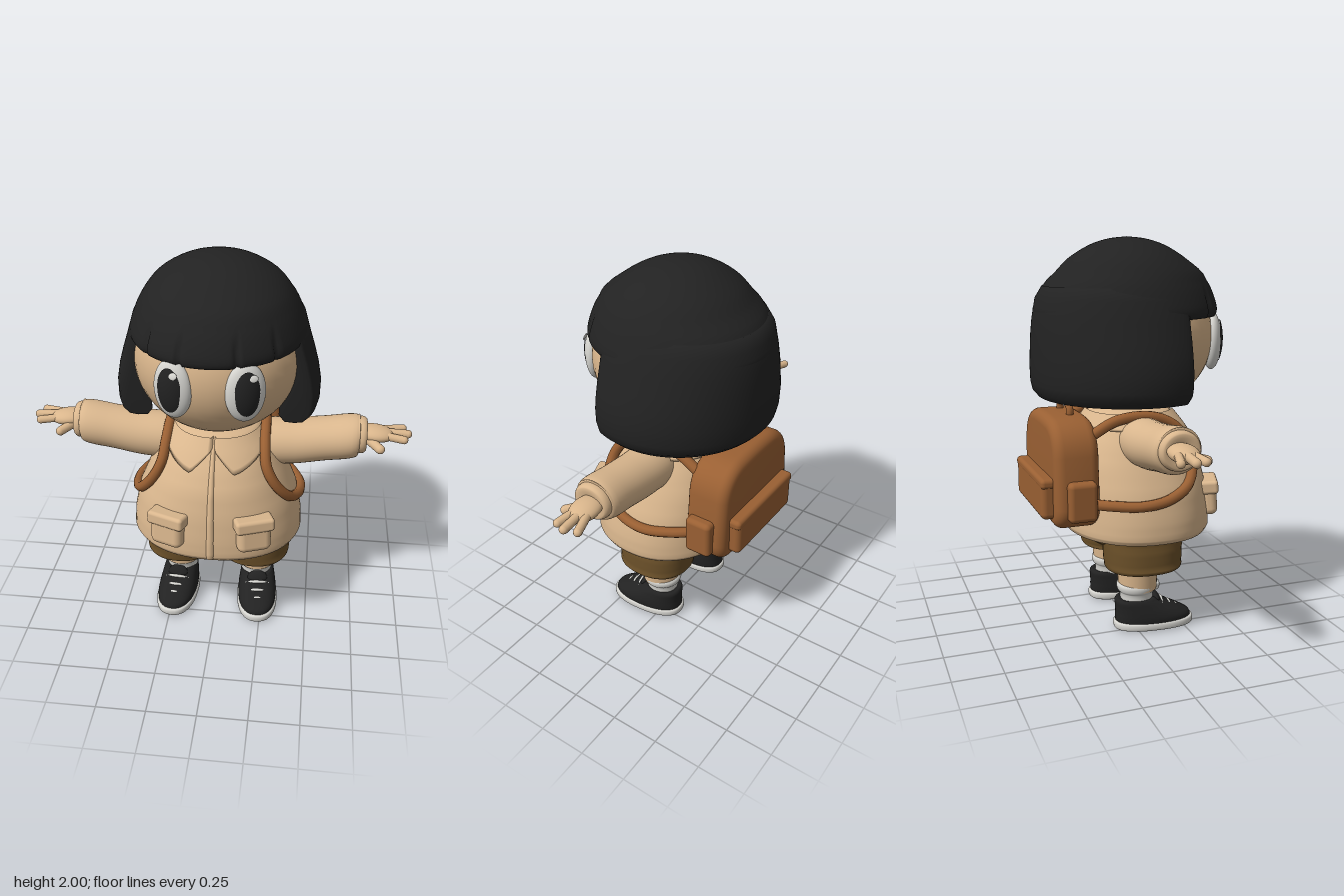
import * as THREE from 'three';
import { mergeVertices, toCreasedNormals } from 'three/addons/utils/BufferGeometryUtils.js';
import { RoundedBoxGeometry } from 'three/addons/geometries/RoundedBoxGeometry.js';

const mat = (name, color) => new THREE.MeshStandardMaterial({ name, color });
const V = (x, y, z) => new THREE.Vector3(x, y, z);

// Smooth surface from f(i, j); i runs round, j runs up, outside faces out
function surf(nu, nv, f) {
  const pos = [], idx = [];
  for (let j = 0; j <= nv; j++) for (let i = 0; i <= nu; i++) pos.push(...f(i, j));
  for (let j = 0; j < nv; j++) for (let i = 0; i < nu; i++) {
    const a = j * (nu + 1) + i, b = a + nu + 1;
    idx.push(a, b, a + 1, a + 1, b, b + 1);
  }
  let g = new THREE.BufferGeometry();
  g.setAttribute('position', new THREE.Float32BufferAttribute(pos, 3));
  g.setIndex(idx);
  g = mergeVertices(g, 1e-5);
  g.computeVertexNormals();
  return g;
}

const pw = (c, e) => Math.sign(c) * Math.abs(c) ** (2 / e);

// Stack of (super)elliptic sections [y, rx, rz, cx, cz]
function loft(sections, { n = 40, e = 2, sub = 4, dent = null } = {}) {
  const size = new THREE.CatmullRomCurve3(sections.map(s => V(s[1], s[0], s[2])));
  const mid = new THREE.CatmullRomCurve3(sections.map(s => V(s[3] ?? 0, 0, s[4] ?? 0)));
  const nv = (sections.length - 1) * sub;
  return surf(n, nv, (i, j) => {
    const s = size.getPoint(j / nv), m = mid.getPoint(j / nv), a = (i % n) / n * Math.PI * 2;
    const k = dent ? dent(a, s.y) : 1;
    return [m.x + s.x * k * pw(Math.cos(a), e), s.y, m.z + s.z * k * pw(Math.sin(a), e)];
  });
}

// Linear table lookup, first column is the key
function lookup(table, t) {
  let k = 0;
  while (k < table.length - 2 && t > table[k + 1][0]) k++;
  const A = table[k], B = table[k + 1];
  const w = THREE.MathUtils.clamp((t - A[0]) / (B[0] - A[0]), 0, 1);
  return A.map((v, i) => v + (B[i] - v) * w);
}

// Jacket profile: y, rx, rz, centre z
const JACKET = [
  [0.51, 0.435, 0.37, 0.07], [0.535, 0.448, 0.383, 0.07], [0.62, 0.442, 0.38, 0.07],
  [0.75, 0.415, 0.37, 0.065], [0.88, 0.36, 0.345, 0.06], [0.98, 0.31, 0.3, 0.055],
  [1.06, 0.26, 0.25, 0.05], [1.13, 0.2, 0.2, 0.045],
];
function onJacket(a, y, off = 0) {
  const [, rx, rz, cz] = lookup(JACKET, y);
  return [(rx + off) * pw(Math.cos(a), 2.2), y, cz + (rz + off) * pw(Math.sin(a), 2.2)];
}

export function createModel() {
  const skin = mat('skin', 0xdab68c), cloth = mat('jacket tan', 0xdab78e);
  const black = mat('black', 0x222222), white = mat('white', 0xd6d5d0);
  const olive = mat('shorts brown', 0x6b5029), leather = mat('backpack brown', 0x9a6033);

  const model = new THREE.Group();
  model.name = 'child';
  const add = (parent, name, geo, material, p = [0, 0, 0], r = [0, 0, 0], s = [1, 1, 1]) => {
    const m = new THREE.Mesh(geo, material);
    m.name = name;
    m.position.set(...p); m.rotation.set(...r); m.scale.set(...s);
    parent.add(m);
    return m;
  };
  const ball = new THREE.SphereGeometry(1, 40, 28);
  const tube = (pts, r, n = 40) => new THREE.TubeGeometry(new THREE.CatmullRomCurve3(pts.map(p => V(...p))), n, r, 10);
  const capsule = (parent, name, p, q, r, material) => {
    const A = V(...p), B = V(...q), d = B.clone().sub(A);
    const m = add(parent, name, new THREE.CapsuleGeometry(r, d.length(), 6, 14), material);
    m.position.copy(A).add(B).multiplyScalar(0.5);
    m.quaternion.setFromUnitVectors(V(0, 1, 0), d.normalize());
  };

  // Head
  add(model, 'head', ball, skin, [0, 1.505, 0.05], [0, 0, 0], [0.42, 0.39, 0.43]);

  // Hair cap with a fringe cut by thin notches
  const notches = [-0.78, -0.31, 0.31, 0.78];
  const dent = (a, y) => {
    const d = Math.min(...notches.map(n => Math.abs(a - Math.PI / 2 - n)));
    return 1 - 0.045 * Math.max(0, 1 - d / 0.035) * THREE.MathUtils.clamp((1.77 - y) / 0.08, 0, 1);
  };
  add(model, 'hairCap', loft([
    [1.66, 0.36, 0.38, 0, 0.03], [1.615, 0.4, 0.43, 0, 0.03], [1.61, 0.425, 0.46, 0, 0.03],
    [1.635, 0.433, 0.473, 0, 0.027], [1.7, 0.415, 0.456, 0, 0.03], [1.79, 0.375, 0.405, 0, 0.035],
    [1.89, 0.3, 0.3, 0, 0.035], [1.96, 0.19, 0.185, 0, 0.035], [1.99, 0.09, 0.09, 0, 0.035], [2, 0, 0, 0, 0.035],
  ], { n: 180, dent }), black);

  // Bob that wraps the sides and back: profile y, rx, rz
  const bob = [
    [1.75, 0.36, 0.37], [1.5, 0.37, 0.37], [1.24, 0.36, 0.36], [1.205, 0.385, 0.375], [1.2, 0.43, 0.41], [1.205, 0.465, 0.445],
    [1.235, 0.495, 0.472], [1.28, 0.507, 0.482], [1.36, 0.508, 0.485], [1.44, 0.494, 0.482],
    [1.52, 0.472, 0.479], [1.6, 0.447, 0.472], [1.7, 0.418, 0.455], [1.76, 0.385, 0.418], [1.75, 0.36, 0.37],
  ];
  const NB = 84;
  const bobPoint = (row, i, inset) => {
    const [y, rx, rz] = bob[row], a0 = Math.asin(0.19 / rz) - inset;
    const a = Math.PI - a0 + (i - 2) / (NB - 4) * (Math.PI + 2 * a0);
    return [rx * Math.cos(a), y, 0.02 + rz * Math.sin(a)];
  };
  add(model, 'hairBob', surf(NB, bob.length - 1, (i, j) => {
    const end = Math.min(i, NB - i), k = THREE.MathUtils.clamp(i, 2, NB - 2);
    const p = bobPoint(j, k, end === 2 ? 0.05 : 0);
    if (end >= 2) return bobPoint(j, k, 0.04);
    const rim = bobPoint(j, k, 0), c = [Math.sign(p[0]) * 0.405, 1.45, 0.21], w = end === 1 ? 0.06 : 1;
    return rim.map((v, n) => v + (c[n] - v) * w);
  }), black);

  // Eyes: white almond, dark cap, small glint
  const pupil = new THREE.SphereGeometry(1, 36, 12, 0, Math.PI * 2, 0, 0.87).rotateX(Math.PI / 2);
  for (const s of [1, -1]) {
    const eye = new THREE.Group();
    eye.name = s > 0 ? 'leftEye' : 'rightEye';
    eye.position.set(s * 0.166, 1.48, 0.437);
    eye.rotation.y = s * 0.34;
    model.add(eye);
    add(eye, 'eyeWhite', ball, white, [0, 0, 0], [0, 0, 0], [0.096, 0.148, 0.05]);
    add(eye, 'pupil', pupil, black, [0, 0.005, 0], [0, 0, 0], [0.08, 0.146, 0.058]);
    add(eye, 'glint', ball, white, [0.026, 0.085, 0.045], [-0.4, 0, 0], [0.021, 0.017, 0.006]);
  }

  // Jacket body with a hollow hem
  const body = [[0.58, 0.3, 0.25, 0.07], [0.52, 0.39, 0.33, 0.07], ...JACKET, [1.17, 0, 0, 0.045]];
  const rows = body.flatMap((s, k) => k < body.length - 1
    ? [0, 0.33, 0.67].map(w => s.map((v, i) => v + (body[k + 1][i] - v) * w)) : [s]);
  add(model, 'jacketBody', surf(72, rows.length - 1, (i, j) => {
    const [y, rx, rz, cz] = rows[j], a = (i % 72) / 72 * Math.PI * 2;
    return [rx * pw(Math.cos(a), 2.2), y, cz + rz * pw(Math.sin(a), 2.2)];
  }), cloth);
  add(model, 'placket', surf(4, 30, (i, j) => {
    const d = (i - 2) / 2 * 0.035;
    return onJacket(Math.PI / 2 + d, 0.52 + j / 30 * 0.56, Math.abs(i - 2) === 2 ? -0.004 : 0.008);
  }), cloth);

  // Hips
  add(model, 'shortsSeat', ball, olive, [0, 0.54, 0.065], [0, 0, 0], [0.385, 0.165, 0.315]);

  // Everything mirrored left and right
  const collarEdge = [[0, 1.085], [0.3, 0.98], [0.42, 0.99], [0.95, 1.05], [Math.PI, 1.06]];
  for (const s of [1, -1]) {
    const side = new THREE.Group();
    side.name = s > 0 ? 'leftSide' : 'rightSide';
    side.scale.x = s;
    model.add(side);

    // Collar wing
    add(side, 'collar', surf(80, 8, (i, j) => {
      const d = (1 - i / 80) * Math.PI, low = lookup(collarEdge, d)[1];
      const off = j === 0 || i === 80 ? -0.01 : 0.022;
      return onJacket(Math.PI / 2 - d, low + (1.13 - low) * Math.max(0, j - 1) / 7, off);
    }), cloth);

    // Chest pocket
    const pocket = new THREE.Group();
    pocket.name = 'pocket';
    pocket.position.set(0.217, 0.67, 0.415);
    pocket.rotation.set(-0.08, 0.36, 0, 'YXZ');
    side.add(pocket);
    add(pocket, 'pocketPouch', new RoundedBoxGeometry(0.175, 0.15, 0.08, 4, 0.035), cloth, [0, -0.012, 0]);
    add(pocket, 'pocketFlap', new RoundedBoxGeometry(0.2, 0.07, 0.1, 4, 0.018), cloth, [0, 0.065, 0]);

    // Sleeve and cuff, lofted along the arm
    const along = [0, 0, -Math.PI / 2];
    add(side, 'sleeve', loft([
      [0.12, 0, 0, -1, 0.03], [0.15, 0.1, 0.11, -1, 0.03], [0.25, 0.12, 0.125, -1, 0.03],
      [0.4, 0.12, 0.125, -1.008, 0.03], [0.55, 0.115, 0.122, -1.03, 0.028], [0.68, 0.114, 0.122, -1.05, 0.027],
      [0.715, 0.106, 0.11, -1.055, 0.027], [0.722, 0.09, 0.09, -1.055, 0.027], [0.7, 0, 0, -1.055, 0.027],
    ]), cloth, [0, 0, 0], along);
    add(side, 'cuff', loft([
      [0.69, 0.08, 0.085, -1.06, 0.025], [0.71, 0.093, 0.1, -1.06, 0.025], [0.74, 0.093, 0.1, -1.06, 0.025],
      [0.757, 0.08, 0.085, -1.06, 0.025], [0.74, 0, 0, -1.06, 0.025],
    ]), cloth, [0, 0, 0], along);

    // Hand
    add(side, 'palm', ball, skin, [0.8, 1.066, 0.012], [0, 0, -0.08], [0.1, 0.04, 0.07]);
    capsule(side, 'finger', [0.83, 1.068, -0.025], [0.945, 1.06, -0.063], 0.021, skin);
    capsule(side, 'finger', [0.83, 1.07, 0.005], [0.967, 1.062, 0.0], 0.022, skin);
    capsule(side, 'finger', [0.83, 1.068, 0.035], [0.945, 1.058, 0.056], 0.021, skin);
    capsule(side, 'thumb', [0.77, 1.045, 0.05], [0.825, 1.03, 0.115], 0.024, skin);

    // Backpack strap round the shoulder
    add(side, 'strap', tube([
      [0.24, 1.04, -0.24], [0.24, 1.11, -0.1], [0.245, 1.12, 0.08], [0.25, 1.07, 0.2], [0.265, 0.98, 0.268],
      [0.315, 0.88, 0.275], [0.38, 0.79, 0.225], [0.425, 0.735, 0.11], [0.43, 0.715, -0.03], [0.37, 0.715, -0.17], [0.3, 0.715, -0.26],
    ], 0.027, 70), leather);

    // Shorts leg
    add(side, 'shortsLeg', loft([
      [0.37, 0, 0, 0.205, 0.05], [0.36, 0.13, 0.15, 0.205, 0.05], [0.33, 0.16, 0.18, 0.203, 0.05], [0.33, 0.178, 0.195, 0.203, 0.05],
      [0.36, 0.182, 0.2, 0.203, 0.05], [0.45, 0.182, 0.205, 0.2, 0.05], [0.54, 0.18, 0.21, 0.2, 0.05],
    ], { e: 2.3 }), olive);

    // Leg and sock
    add(side, 'leg', new THREE.CylinderGeometry(0.108, 0.1, 0.18, 36, 1, true), skin, [0.212, 0.3, 0.02]);
    add(side, 'sock', loft([
      [0.1, 0.085, 0.085], [0.19, 0.086, 0.088], [0.205, 0.098, 0.1], [0.23, 0.102, 0.105], [0.245, 0.094, 0.096], [0.24, 0, 0],
    ]), white, [0.212, 0, 0.015]);

    // Shoe, toes turned slightly out
    const shoe = new THREE.Group();
    shoe.name = 'shoe';
    shoe.position.set(0.217, 0, 0);
    shoe.rotation.y = 0.07;
    side.add(shoe);
    add(shoe, 'sole', loft([
      [0, 0, 0, 0, 0.105], [0, 0.1, 0.205, 0, 0.105], [0.008, 0.11, 0.213, 0, 0.105],
      [0.035, 0.11, 0.213, 0, 0.105], [0.042, 0.1, 0.2, 0, 0.105], [0.042, 0, 0, 0, 0.105],
    ], { e: 2.4 }), white);
    add(shoe, 'shoeUpper', loft([
      [0.03, 0.103, 0.203, 0, 0.105], [0.06, 0.106, 0.2, 0, 0.1], [0.09, 0.103, 0.175, 0, 0.076], [0.12, 0.097, 0.145, 0, 0.045],
      [0.15, 0.09, 0.116, 0, 0.015], [0.162, 0.08, 0.1, 0, 0.01], [0.13, 0, 0, 0, 0.01],
    ], { e: 2.3 }), black);
    add(shoe, 'tongue', ball, black, [0, 0.15, 0.115], [-0.5, 0, 0], [0.055, 0.04, 0.02]);
    for (const [y, z] of [[0.142, 0.145], [0.118, 0.187], [0.095, 0.226]])
      add(shoe, 'lace', tube([[-0.062, y - 0.016, z - 0.012], [0, y, z], [0.062, y - 0.016, z - 0.012]], 0.009, 10), white);

    // Backpack side pocket
    add(side, 'sidePocket', new RoundedBoxGeometry(0.09, 0.2, 0.145, 4, 0.025), leather, [0.33, 0.742, -0.313]);
  }

  // Backpack body: rounded, slightly tapering outline
  const o = new THREE.Shape();
  o.moveTo(-0.23, 0.64);
  o.lineTo(0.23, 0.64);
  o.quadraticCurveTo(0.285, 0.64, 0.285, 0.7);
  o.lineTo(0.265, 0.95);
  o.quadraticCurveTo(0.25, 1.06, 0.15, 1.075);
  o.quadraticCurveTo(0, 1.088, -0.15, 1.075);
  o.quadraticCurveTo(-0.25, 1.06, -0.265, 0.95);
  o.lineTo(-0.285, 0.7);
  o.quadraticCurveTo(-0.285, 0.64, -0.23, 0.64);
  let pack = new THREE.ExtrudeGeometry(o, { depth: 0.13, bevelSize: 0.05, bevelThickness: 0.05, bevelSegments: 6, curveSegments: 10 });
  pack.deleteAttribute('uv');
  pack.deleteAttribute('normal');
  pack = toCreasedNormals(mergeVertices(pack, 1e-4), 0.6);
  add(model, 'backpackBody', pack, leather, [0, 0, -0.39]);
  add(model, 'backpackPocket', new RoundedBoxGeometry(0.53, 0.2, 0.11, 4, 0.03), leather, [0, 0.74, -0.443]);
  add(model, 'backpackPocketFlap', new RoundedBoxGeometry(0.54, 0.05, 0.115, 4, 0.02), leather, [0, 0.822, -0.442]);
  add(model, 'backpackHandle', tube([
    [-0.09, 1.1, -0.3], [-0.088, 1.155, -0.3], [-0.06, 1.175, -0.3], [0.06, 1.175, -0.3], [0.088, 1.155, -0.3], [0.09, 1.1, -0.3],
  ], 0.019), leather);

  return model;
}
